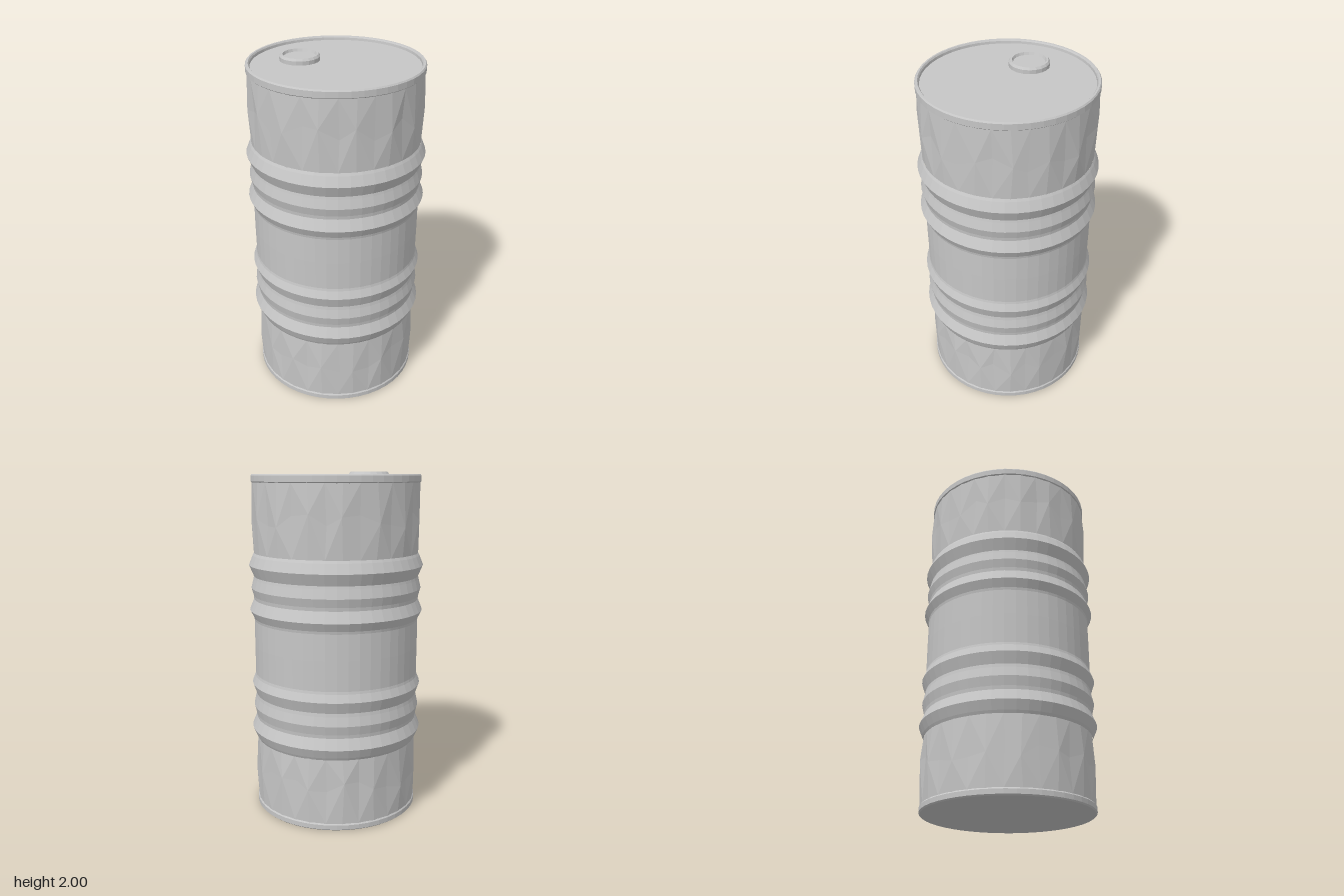
import * as THREE from 'three';

const steel = new THREE.MeshStandardMaterial({ color: 0xc6c6c6 });
steel.name = 'steel grey';

// Faceted normals baked into the geometry
function faceted(geo) {
  const flat = geo.index ? geo.toNonIndexed() : geo;
  flat.computeVertexNormals();
  return flat;
}

function part(name, geo) {
  const mesh = new THREE.Mesh(faceted(geo), steel);
  mesh.name = name;
  return mesh;
}

// Profile of [radius, height] pairs, running upwards on the outside
function lathe(profile, segments) {
  return new THREE.LatheGeometry(profile.map(([r, y]) => new THREE.Vector2(r, y)), segments);
}

// Small repeatable noise in -1..1
function noise(i, j) {
  const s = Math.sin(i * 12.99 + j * 78.23) * 43758.55;
  return 2 * (s - Math.floor(s)) - 1;
}

// Dented wall: three rings with alternating ridges and hollows in the middle one
function dentedWall(y0, r0, yMid, y1, r1, seed) {
  const n = 32, pos = [], idx = [];
  for (let row = 0; row < 3; row++) {
    for (let i = 0; i < n; i++) {
      const ridge = i % 2 === 1;
      let r = row === 0 ? r0 : r1, y = row === 0 ? y0 : y1, a = i / n * Math.PI * 2;
      if (row === 1) {
        r = (ridge ? 0.492 : 0.478) + 0.003 * noise(i, seed);
        y = yMid + 0.05 * noise(i, seed + 3);
        a += 0.03 * noise(i, seed + 7);
      }
      pos.push(r * Math.sin(a), y, r * Math.cos(a));
    }
  }
  for (let row = 0; row < 2; row++) {
    for (let i = 0; i < n; i++) {
      const j = (i + 1) % n;
      const a = row * n + i, b = row * n + j, c = b + n, d = a + n;
      // Diagonals fan out from the ridge points
      if ((i + row) % 2 === 0) idx.push(a, b, c, a, c, d);
      else idx.push(a, b, d, b, c, d);
    }
  }
  const geo = new THREE.BufferGeometry();
  geo.setAttribute('position', new THREE.Float32BufferAttribute(pos, 3));
  geo.setIndex(idx);
  return geo;
}

export function createModel() {
  const drum = new THREE.Group();
  drum.name = 'drum';

  // Base: flat bottom and rolled rim
  drum.add(part('bottomRim', lathe([
    [0, 0.005], [0.48, 0.005], [0.488, 0.012], [0.488, 0.038], [0.482, 0.046],
  ], 48)));

  // Plain walls with shallow dents
  drum.add(part('lowerWall', dentedWall(0.044, 0.483, 0.25, 0.432, 0.48, 1)));
  drum.add(part('upperWall', dentedWall(1.542, 0.48, 1.74, 1.945, 0.483, 2)));

  // Ribbed middle
  drum.add(part('ribbedWall', lathe([
    [0.48, 0.43], [0.488, 0.445], [0.51, 0.497], [0.484, 0.56], [0.486, 0.58],
    [0.498, 0.632], [0.486, 0.685], [0.483, 0.705], [0.505, 0.77], [0.487, 0.815],
    [0.484, 0.83], [0.485, 1.0], [0.484, 1.15], [0.487, 1.165], [0.51, 1.212],
    [0.484, 1.275], [0.486, 1.295], [0.499, 1.342], [0.486, 1.395], [0.483, 1.41],
    [0.51, 1.475], [0.488, 1.53], [0.48, 1.545],
  ], 48)));

  // Top: rolled rim and recessed lid
  drum.add(part('topRim', lathe([
    [0.48, 1.94], [0.488, 1.947], [0.488, 1.98], [0.482, 1.988],
    [0.472, 1.988], [0.466, 1.98], [0.464, 1.965],
  ], 48)));
  const lid = new THREE.CircleGeometry(0.466, 48);
  lid.rotateX(-Math.PI / 2).translate(0, 1.966, 0);
  drum.add(part('lid', lid));

  // Filler cap with raised lip
  const cap = part('fillerCap', lathe([
    [0.113, 1.965], [0.113, 1.988], [0.104, 2.0], [0.094, 2.0], [0.088, 1.985], [0, 1.985],
  ], 20));
  cap.position.set(-0.197, 0, 0.08);
  drum.add(cap);

  return drum;
}
